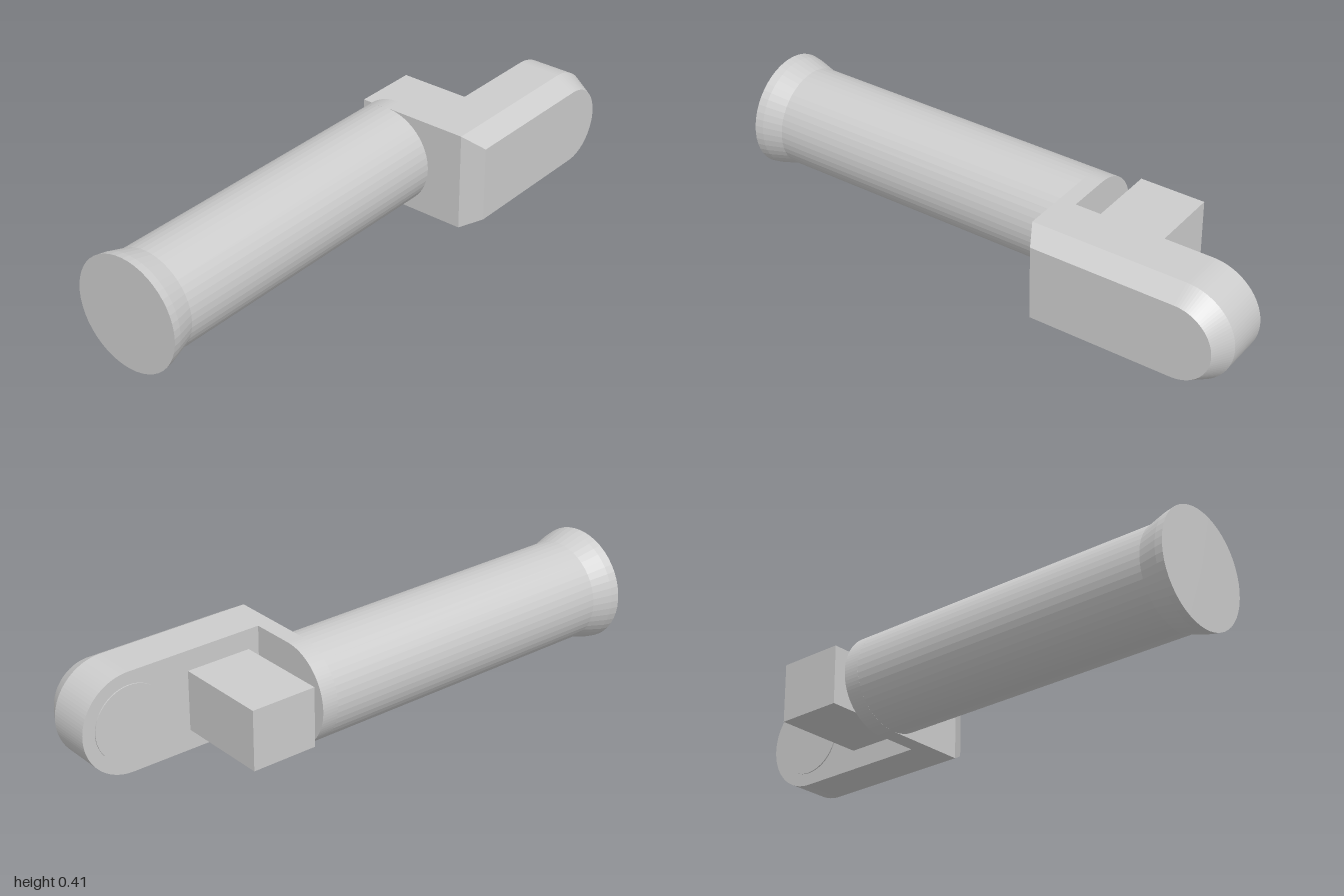
import * as THREE from 'three';

const AXIS_Y = 0.203, AXIS_Z = -0.091; // handle axis
const R = 0.178;                       // handle and plate-end radius

export function createModel() {
  const group = new THREE.Group();
  group.name = 'crankHandle';
  const grey = new THREE.MeshStandardMaterial({ color: 0xcccccc });
  grey.name = 'plain grey';

  const add = (name, geometry, x, y, z) => {
    const faceted = geometry.index ? geometry.toNonIndexed() : geometry;
    faceted.computeVertexNormals();
    const mesh = new THREE.Mesh(faceted, grey);
    mesh.name = name;
    mesh.position.set(x, y, z);
    group.add(mesh);
  };

  // Flat on the left, half round on the right around (cx, 0)
  const dShape = (left, cx) => {
    const s = new THREE.Shape();
    s.moveTo(left, -R);
    s.lineTo(cx, -R);
    s.absarc(cx, 0, R, -Math.PI / 2, Math.PI / 2, false);
    s.lineTo(left, R);
    s.closePath();
    return s;
  };

  // Round handle with a flared, closed outer end
  const profile = [[0, -1], [0.203, -1], [0.198, -0.97], [R, -0.9], [R, 0.26]]
    .map(([r, h]) => new THREE.Vector2(r, h));
  add('handle', new THREE.LatheGeometry(profile, 48).rotateZ(-Math.PI / 2), 0, AXIS_Y, AXIS_Z);

  // Neck joining the handle to the plate
  const neck = new THREE.ExtrudeGeometry(dShape(-0.064, -AXIS_Z),
    { depth: 0.06, bevelEnabled: false, curveSegments: 24 });
  add('neck', neck.rotateY(Math.PI / 2), 0.26, AXIS_Y, 0);

  // Plate with a chamfered front edge; the rear bevel is flattened
  const plate = new THREE.ExtrudeGeometry(dShape(0.26, 0.822), {
    depth: 0.158, bevelEnabled: true, bevelSegments: 1, curveSegments: 24,
    bevelThickness: 0.073, bevelSize: 0.041, bevelOffset: -0.041,
  });
  const p = plate.attributes.position;
  for (let i = 0; i < p.count; i++) p.setZ(i, Math.max(0, p.getZ(i)));
  add('plate', plate, 0, AXIS_Y, 0.064);

  // Thin raised disc on the back of the plate
  add('backDisc', new THREE.CylinderGeometry(0.133, 0.133, 0.01, 48).rotateX(Math.PI / 2),
    0.822, AXIS_Y, 0.065);

  // Square peg on the back of the plate
  add('squarePeg', new THREE.BoxGeometry(0.24, 0.213, 0.345), 0.48, AXIS_Y, -0.1035);

  return group;
}
